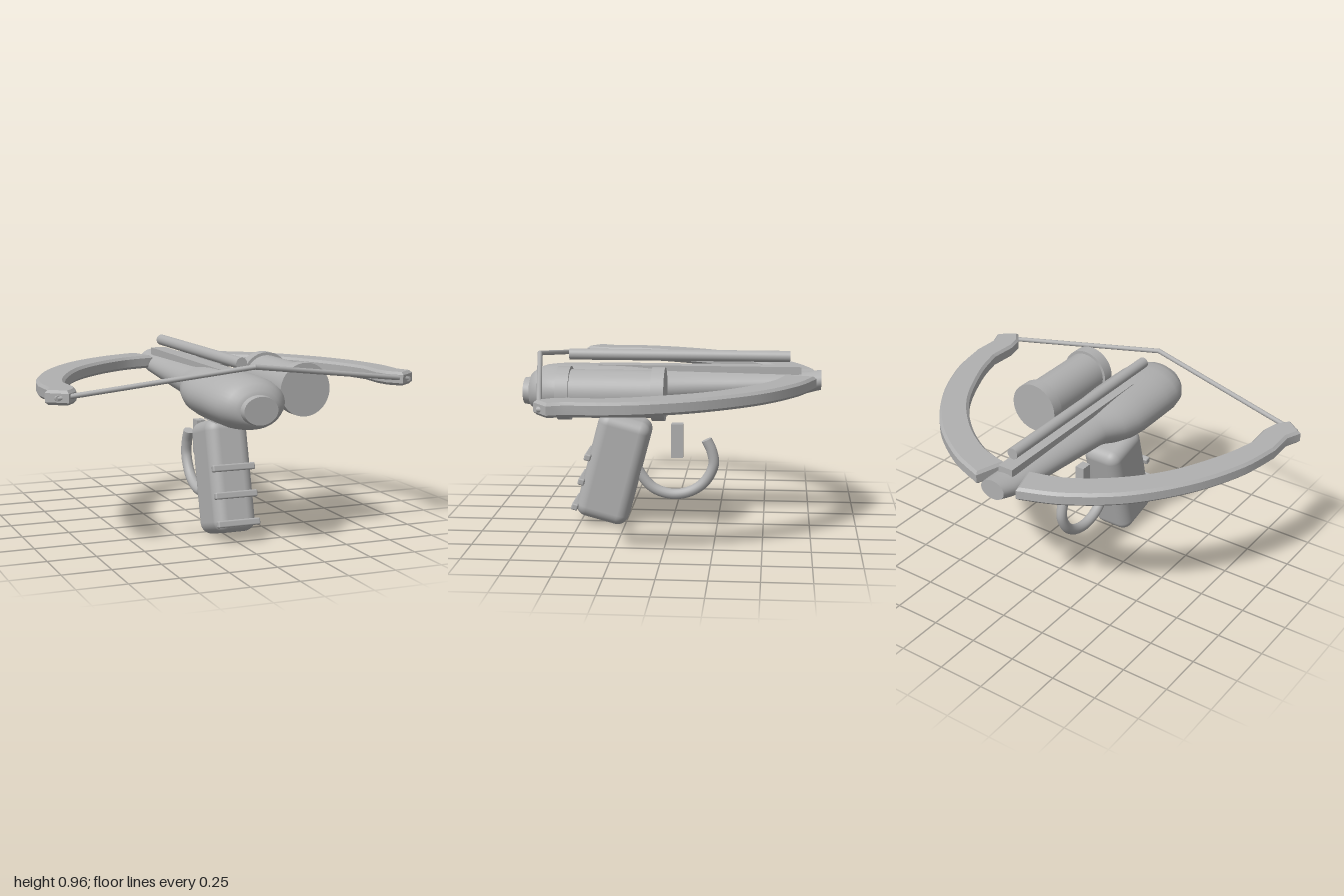
import * as THREE from 'three';
import { toCreasedNormals } from 'three/addons/utils/BufferGeometryUtils.js';
import { RoundedBoxGeometry } from 'three/addons/geometries/RoundedBoxGeometry.js';

// Closed tube of elliptical sections [z, halfWidth, bottom, top], ordered from +z to -z
function loft(sections, sides = 40) {
  const pos = [], index = [];
  for (const [z, rx, y0, y1] of sections) {
    for (let j = 0; j < sides; j++) {
      const a = (j / sides) * Math.PI * 2;
      pos.push(Math.cos(a) * rx, (y0 + y1) / 2 + Math.sin(a) * (y1 - y0) / 2, z);
    }
  }
  const last = (sections.length - 1) * sides;
  for (let j = 0; j < sides; j++) {
    const k = (j + 1) % sides;
    for (let b = 0; b < last; b += sides) {
      const p = b + j, q = b + k;
      index.push(p, p + sides, q, q, p + sides, q + sides);
    }
    if (j > 0 && j < sides - 1) {
      index.push(0, j, k, last, last + k, last + j);
    }
  }
  const g = new THREE.BufferGeometry();
  g.setAttribute('position', new THREE.Float32BufferAttribute(pos, 3));
  g.setIndex(index);
  return toCreasedNormals(g, 0.6);
}

export function createModel() {
  const model = new THREE.Group();
  model.name = 'crossbow';
  const grey = new THREE.MeshStandardMaterial({ color: 0xb0b0b0 });
  grey.name = 'grey';

  const add = (name, geometry, x = 0, y = 0, z = 0, parent = model) => {
    const mesh = new THREE.Mesh(geometry, grey);
    mesh.name = name;
    mesh.position.set(x, y, z);
    parent.add(mesh);
    return mesh;
  };
  const rod = (r, length, sides = 32) => new THREE.CylinderGeometry(r, r, length, sides).rotateX(Math.PI / 2);

  // Bulbous stock tapering into the barrel
  add('body', loft([
    [0.795, 0.09, 0.66, 0.8], [0.762, 0.096, 0.655, 0.805], [0.755, 0.118, 0.645, 0.825],
    [0.72, 0.152, 0.628, 0.855], [0.67, 0.183, 0.617, 0.872], [0.6, 0.198, 0.61, 0.88],
    [0.5, 0.2, 0.61, 0.882], [0.32, 0.2, 0.61, 0.882], [0.22, 0.194, 0.618, 0.878],
    [0.12, 0.168, 0.64, 0.87], [0.05, 0.138, 0.663, 0.862], [0, 0.128, 0.675, 0.858],
    [-0.35, 0.108, 0.702, 0.853], [-0.66, 0.09, 0.728, 0.848], [-0.72, 0.086, 0.738, 0.852],
    [-0.795, 0.07, 0.757, 0.862],
  ]));
  add('underPlate', new THREE.BoxGeometry(0.24, 0.025, 0.155), 0, 0.643, 0.422);

  // Rail and loaded bolt
  add('rail', new THREE.BoxGeometry(0.085, 0.05, 1.08), 0, 0.857, -0.15);
  add('bolt', rod(0.03, 1.18), 0, 0.932, -0.04);

  // Side canister with a flange at each end
  add('canister', rod(0.122, 0.5, 48), 0.35, 0.783, 0.28);
  for (const z of [0.038, 0.522]) add('canisterFlange', rod(0.138, 0.066, 48), 0.35, 0.783, z);
  for (const z of [0.17, 0.58]) {
    add('sideKnob', new THREE.CylinderGeometry(0.021, 0.021, 0.06, 20).rotateZ(Math.PI / 2), 0.183, 0.745, z);
  }

  // Tilted grip with finger ridges
  const grip = new THREE.Group();
  grip.name = 'grip';
  grip.position.set(0, 0.315, 0.313);
  grip.rotation.x = -0.26;
  model.add(grip);
  add('gripBlock', new RoundedBoxGeometry(0.226, 0.59, 0.29, 5, 0.06), 0, 0, 0, grip);
  for (const y of [0.035, -0.105, -0.25]) {
    add('gripRidge', new RoundedBoxGeometry(0.232, 0.036, 0.036, 2, 0.008), 0, y, 0.148, grip);
  }

  // Trigger and curved guard
  add('trigger', new THREE.BoxGeometry(0.05, 0.185, 0.064), 0, 0.467, -0.03);
  const guardPath = new THREE.CatmullRomCurve3([
    [0.36, 0.21], [0.27, 0.165], [0.2, 0.1], [0.168, 0], [0.184, -0.1], [0.24, -0.18],
    [0.335, -0.227], [0.41, -0.217], [0.473, -0.188],
  ].map(([y, z]) => new THREE.Vector3(0, y, z)));
  add('triggerGuard', new THREE.TubeGeometry(guardPath, 60, 0.029, 16));
  const guardEnd = add('guardEnd', new THREE.CircleGeometry(0.029, 16), 0, 0.473, -0.188);
  guardEnd.lookAt(guardEnd.position.clone().add(guardPath.getTangent(1)));

  // Bow limbs and string, mirrored left and right
  const v2 = (s, list) => list.map(([x, z]) => new THREE.Vector2(s * x, z));
  for (const s of [1, -1]) {
    const side = s > 0 ? 'left' : 'right';
    const shape = new THREE.Shape();
    shape.moveTo(s * 0.13, -0.75);
    shape.splineThru(v2(s, [[0.34, -0.66], [0.58, -0.48], [0.78, -0.22], [0.905, 0.05], [0.955, 0.28]]));
    shape.lineTo(s * 0.95, 0.43);
    shape.lineTo(s * 0.98, 0.505);
    shape.lineTo(s * 0.902, 0.566);
    shape.lineTo(s * 0.855, 0.505);
    shape.lineTo(s * 0.838, 0.43);
    shape.lineTo(s * 0.846, 0.28);
    shape.splineThru(v2(s, [[0.785, 0.08], [0.645, -0.2], [0.46, -0.41], [0.26, -0.55], [0.085, -0.607]]));
    const limb = new THREE.ExtrudeGeometry(shape, {
      depth: 0.044, bevelThickness: 0.014, bevelSize: 0.014, bevelSegments: 1, curveSegments: 30,
    }).rotateX(Math.PI / 2);
    add(side + 'Limb', toCreasedNormals(limb, 0.5), 0, 0.834, 0);

    // Pin on the limb tip where the string is tied
    add(side + 'StringPin', rod(0.014, 0.05, 16), s * 0.945, 0.81, 0.535);
    const string = new THREE.LineCurve3(
      new THREE.Vector3(s * 0.945, 0.81, 0.55), new THREE.Vector3(0, 0.935, 0.712));
    add(side + 'String', new THREE.TubeGeometry(string, 1, 0.013, 12));
  }
  add('stringKnot', new THREE.SphereGeometry(0.0135, 12, 8), 0, 0.935, 0.712);

  return model;
}
